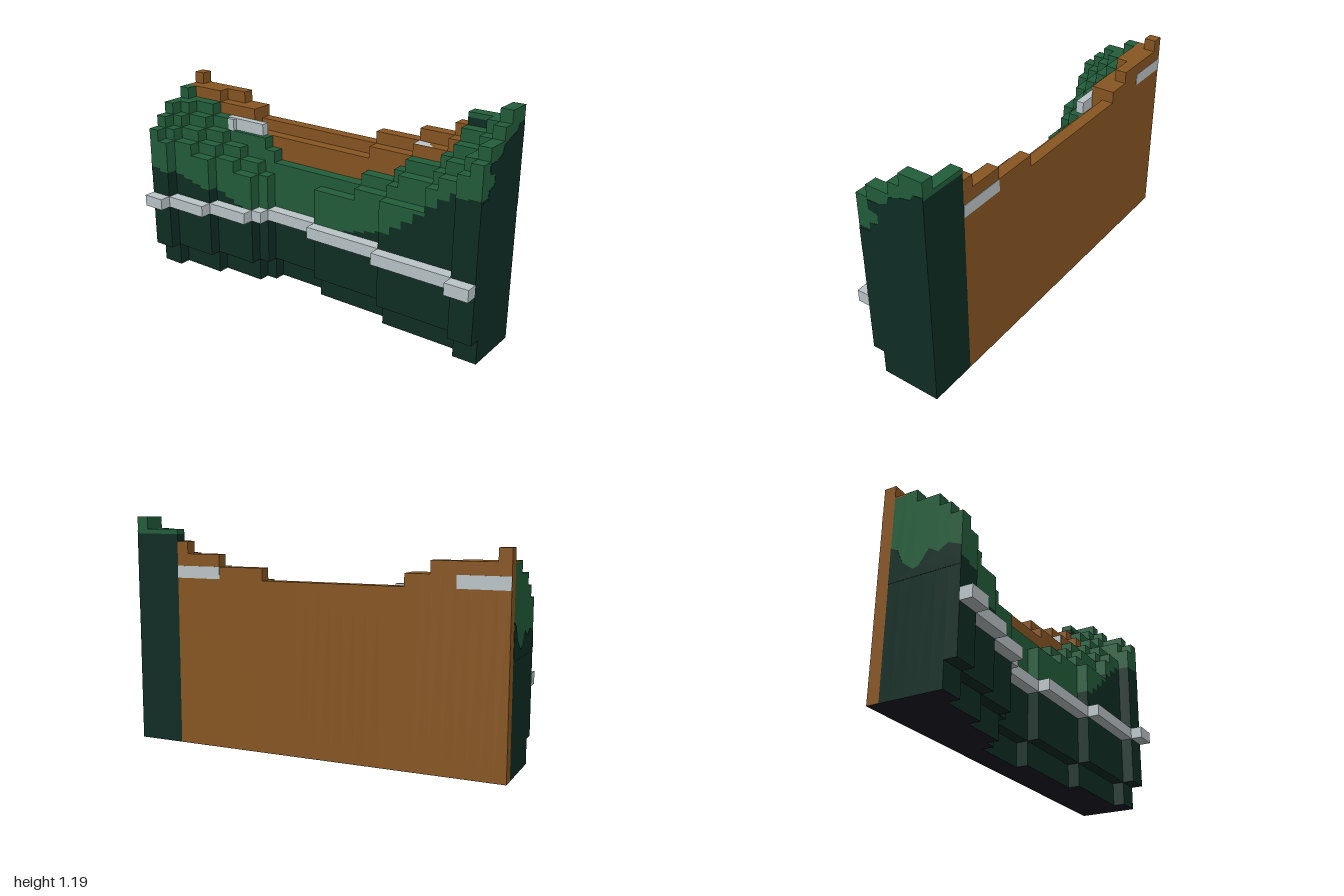
import * as THREE from 'three';
import { mergeGeometries } from 'three/addons/utils/BufferGeometryUtils.js';

const U = 1 / 16; // one block

const mat = (name, color) => {
  const m = new THREE.MeshStandardMaterial({ color });
  m.name = name;
  return m;
};

// box from corner to corner, non-indexed so it merges with extruded patches
function box(x0, x1, y0, y1, z0, z1) {
  return new THREE.BoxGeometry(x1 - x0, y1 - y0, z1 - z0)
    .translate((x0 + x1) / 2, (y0 + y1) / 2, (z0 + z1) / 2)
    .toNonIndexed();
}

// terrace heights in blocks: [first z row, heights of the columns from x = -3 to x = 3]
const ROWS = [
  [-16, 13, 14, 15, 15, 16, 16, 17],
  [-15, 12, 13, 14, 15, 15, 16, 16],
  [-14, 0, 12, 13, 14, 15, 16, 16],
  [-12, 0, 11, 12, 13, 14, 15, 16],
  [-10, 0, 0, 11, 12, 13, 15, 15],
  [-8, 0, 0, 10, 11, 13, 13, 14],
  [-6, 0, 0, 0, 10, 12, 13, 14],
  [-5, 0, 0, 0, 0, 11, 13, 14],
  [0, 0, 0, 0, 10, 11, 13, 14],
  [4, 0, 0, 0, 11, 12, 14, 15],
  [7, 0, 0, 11, 12, 13, 14, 15],
  [8, 0, 0, 11, 13, 14, 15, 16],
  [11, 0, 0, 13, 14, 15, 16, 17],
  [12, 0, 0, 14, 15, 16, 17, 18],
  [14, 0, 15, 16, 16, 17, 18, 18],
  [15, 0, 16, 17, 17, 18, 19, 19],
];

// height where dark foliage turns light, along z
const SHADE = [[-1, 0.6], [-0.6, 0.5], [-0.4, 0.42], [0.1, 0.42], [0.43, 0.5],
  [0.6, 0.62], [0.75, 0.75], [0.85, 0.82], [1.01, 0.84]];
function shadeHeight(z) {
  const i = SHADE.findIndex(p => p[0] > z);
  const [a, b] = [SHADE[i - 1], SHADE[i]];
  return a[1] + (b[1] - a[1]) * (z - a[0]) / (b[0] - a[0]);
}

// thin painted patch on an end face
function patch(points, z) {
  const shape = new THREE.Shape(points.map(p => new THREE.Vector2(...p)));
  return new THREE.ExtrudeGeometry(shape, { depth: 0.002, bevelEnabled: false }).translate(0, 0, z);
}

export function createModel() {
  const group = new THREE.Group();
  const darkGreen = mat('dark green', 0x0f2d24);
  const lightGreen = mat('light green', 0x235e3b);
  const brown = mat('brown', 0x885622);
  const pale = mat('pale grey', 0xbcc6c9);
  const black = mat('underside', 0x1e1b27);
  const add = (name, geos, m) => {
    const mesh = new THREE.Mesh(mergeGeometries(geos), m);
    mesh.name = name;
    group.add(mesh);
  };

  const dark = [], light = [], earth = [], ledge = [], under = [];
  for (let z = -16; z < 16; z++) {
    const row = ROWS.filter(r => r[0] <= z).pop();
    const h = row.slice(1);
    const first = h.findIndex(v => v > 0);
    const z0 = z * U, z1 = z0 + U;
    const split = shadeHeight(z0 + U / 2);
    for (let c = first; c < 7; c++) {
      const x0 = (c - 3) * U, x1 = x0 + U, top = h[c] * U;
      const y0 = c === first ? 2 * U : 0; // outer column hangs above the foot
      if (c === 6 && z < 12) {
        earth.push(box(x0, x1, y0, top, z0, z1));
      } else if (c === 6) {
        dark.push(box(x0, x1, y0, 1.1, z0, z1));
        light.push(box(x0, x1, 1.1, top, z0, z1));
      } else {
        // brown shows on the second column above its green neighbour
        const cap = c === 5 && z < 12 ? Math.min(h[4] * U, top - 0.008) : top;
        dark.push(box(x0, x1, y0, split, z0, z1));
        light.push(box(x0, x1, split, cap, z0, z1));
        if (cap < top) earth.push(box(x0, x1, cap, top, z0, z1));
      }
    }
    // pale ledge just outside the outer column
    const lx = (first - 4) * U;
    ledge.push(box(lx, lx + U, 6 * U, 7 * U, z0, z1));
    under.push(box((first - 2) * U, 0.25, -0.001, 0.001, z0, z1));
  }

  // jagged dark patches on the two end faces
  dark.push(patch([[-0.125, 0.7], [0.25, 0.7], [0.25, 1.115], [0.2, 1.11], [0.18, 1.08],
    [0.13, 1.07], [0.06, 1.045], [0.05, 1.01], [0, 0.99], [-0.0625, 0.99], [-0.06, 0.94],
    [-0.01, 0.93], [-0.01, 0.88], [-0.06, 0.87], [-0.0625, 0.825], [-0.125, 0.82]], 0.9995));
  dark.push(patch([[-0.1875, 0.55], [0.1875, 0.55], [0.1875, 0.73], [0.15, 0.71], [0.12, 0.64],
    [0.06, 0.59], [0.03, 0.6], [-0.02, 0.67], [-0.07, 0.64], [-0.12, 0.67], [-0.1875, 0.64]], -1.0015));

  add('lowerFoliage', dark, darkGreen);
  add('upperFoliage', light, lightGreen);
  add('earthBank', earth, brown);
  add('ledge', ledge, pale);
  add('underside', under, black);

  // pale stone seams in the bank
  add('stoneSeams', [
    box(0.13, 0.252, 14 * U, 15 * U, 0.498, 0.75),
    box(0.2, 0.252, 14 * U, 15 * U, -0.999, -0.75),
    box(0.085, 0.127, 13 * U, 14 * U + 0.002, -0.66, -0.41),
    box(0.0625, 0.085, 13 * U, 14 * U, -0.64, -0.6),
  ], pale);
  return group;
}
